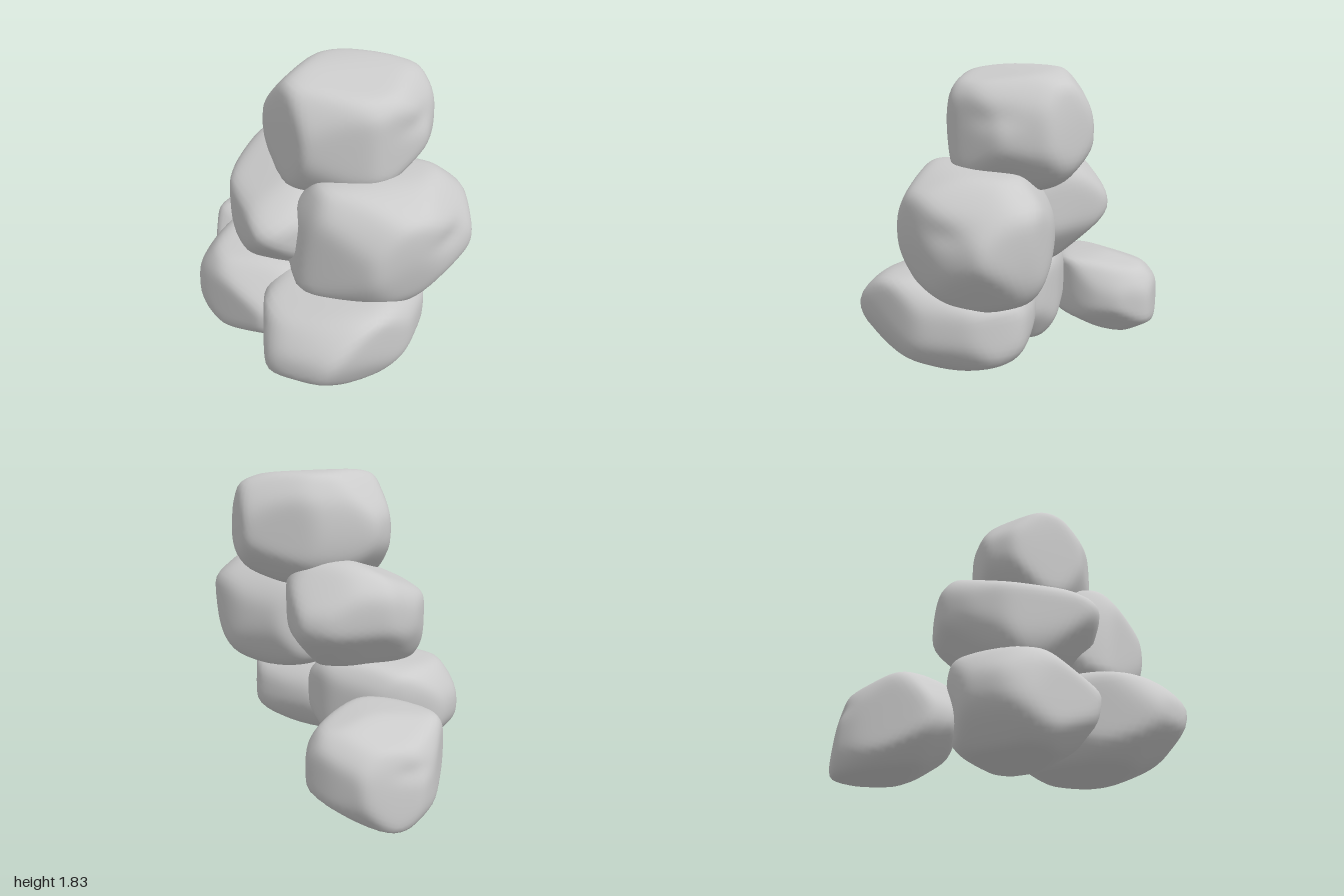
import * as THREE from 'three';
import { mergeVertices } from 'three/addons/utils/BufferGeometryUtils.js';

// Oblique directions in which the faces of a stone are domed and its corners bevelled.
const steps = [-2, -1, 1, 2];
const obliques = steps.flatMap(a => steps.flatMap(b => steps.map(c => [a, b, c])))
  .filter(d => d.some(c => Math.abs(c) === 1));

// A stone is the soft intersection of three outlines: front (x,y), side (z,y) and plan (x,z),
// rounded off between them.
function stone(name, { front, side, plan, dent }) {
  const box = new THREE.Box3();
  const range = (pts, k) => [Math.min(...pts.map(p => p[k])), Math.max(...pts.map(p => p[k]))];
  const [x, y, z] = [range(front, 0), range(side, 1), range(plan, 1)];
  box.min.set(x[0], y[0], z[0]);
  box.max.set(x[1], y[1], z[1]);
  const centre = box.getCenter(new THREE.Vector3());
  const size = box.getSize(new THREE.Vector3());
  const outlines = [[front, 'x', 'y'], [side, 'z', 'y'], [plan, 'x', 'z']];

  // Every outline edge becomes a plane, scaled so that n . p = 1 on it.
  const planes = [];
  for (const [pts, a, b] of outlines) {
    pts.forEach((p, i) => {
      const q = pts[(i + 1) % pts.length];
      const n = new THREE.Vector3();
      n[a] = q[1] - p[1];
      n[b] = p[0] - q[0];
      const h = n[a] * (p[0] - centre[a]) + n[b] * (p[1] - centre[b]);
      planes.push(n.divideScalar(h));
    });
  }

  // Oblique planes lie just outside the furthest outline point.
  for (const d of obliques) {
    const n = new THREE.Vector3(...d).divide(size);
    const reach = outlines.flatMap(([pts, a, b]) =>
      pts.map(p => n[a] * (p[0] - centre[a]) + n[b] * (p[1] - centre[b])));
    planes.push(n.divideScalar(Math.max(...reach) * 1.08));
  }

  // Push a sphere out to the planes; the power sets how round the edges are.
  let geo = new THREE.IcosahedronGeometry(1, 14);
  geo.deleteAttribute('normal');
  geo.deleteAttribute('uv');
  geo = mergeVertices(geo, 1e-5);
  const pos = geo.attributes.position;
  const v = new THREE.Vector3();
  const hollow = dent && new THREE.Vector3(...dent).normalize();
  for (let i = 0; i < pos.count; i++) {
    v.fromBufferAttribute(pos, i).normalize();
    let sum = 0;
    for (const n of planes) sum += Math.max(0, n.dot(v)) ** 30;
    let r = sum ** (-1 / 30);
    if (hollow) {
      const d = v.clone().sub(hollow);
      r *= 1 - 0.05 * Math.exp(-(d.y * d.y * 40 + (d.x * d.x + d.z * d.z) * 9));
    }
    v.multiplyScalar(r);
    pos.setXYZ(i, v.x, v.y, v.z);
  }

  // Bring the rounded stone back to the outlines' extents.
  geo.computeBoundingBox();
  const mid = geo.boundingBox.getCenter(new THREE.Vector3());
  const scale = size.clone().divide(geo.boundingBox.getSize(new THREE.Vector3()));
  geo.translate(-mid.x, -mid.y, -mid.z);
  geo.scale(scale.x, scale.y, scale.z);
  geo.translate(centre.x, centre.y, centre.z);
  geo.computeVertexNormals();
  const mesh = new THREE.Mesh(geo, new THREE.MeshStandardMaterial({ color: 0xcccccc }));
  mesh.name = name;
  return mesh;
}

export function createModel() {
  const group = new THREE.Group();
  group.name = 'rockPile';

  group.add(stone('topStone', {
    front: [[-0.28, 1.2], [-0.3, 1.35], [-0.29, 1.62], [-0.25, 1.78], [-0.1, 1.83], [0.4, 1.81], [0.57, 1.75], [0.62, 1.52], [0.62, 1.35], [0.54, 1.24], [0.3, 1.14], [-0.15, 1.14]],
    side: [[0.6, 1.66], [0.53, 1.75], [0.06, 1.83], [-0.08, 1.81], [-0.17, 1.66], [-0.19, 1.47], [-0.16, 1.31], [-0.06, 1.19], [0.11, 1.14], [0.45, 1.18], [0.6, 1.3]],
    plan: [[-0.3, -0.02], [-0.13, -0.19], [0.18, -0.19], [0.58, 0.01], [0.62, 0.32], [0.44, 0.53], [0.1, 0.6], [-0.11, 0.5], [-0.24, 0.42]],
    dent: [0.6, 0.25, 0.8],
  }));

  group.add(stone('middleFrontStone', {
    front: [[-0.33, 0.67], [-0.32, 0.86], [-0.27, 1.13], [-0.18, 1.3], [0, 1.31], [0.51, 1.27], [0.71, 1.1], [0.71, 1.0], [0.66, 0.72], [0.59, 0.62], [0.37, 0.53], [-0.15, 0.6]],
    side: [[0.92, 1.1], [0.9, 1.18], [0.76, 1.26], [0.58, 1.31], [0.33, 1.27], [0.1, 1.13], [0.08, 0.8], [0.13, 0.64], [0.29, 0.55], [0.71, 0.53], [0.84, 0.67], [0.92, 1.01]],
    plan: [[-0.33, 0.5], [-0.14, 0.78], [-0.05, 0.88], [0.2, 0.92], [0.35, 0.89], [0.62, 0.79], [0.71, 0.53], [0.6, 0.32], [0.38, 0.12], [-0.1, 0.08], [-0.3, 0.28]],
    dent: [0.6, 0.25, 0.8],
  }));

  group.add(stone('middleBackStone', {
    front: [[-0.53, 1.03], [-0.46, 1.11], [-0.24, 1.22], [0, 1.33], [0.25, 1.31], [0.36, 1.15], [0.33, 0.9], [0.15, 0.66], [-0.43, 0.66], [-0.51, 0.82]],
    side: [[-0.17, 1.33], [-0.34, 1.28], [-0.44, 1.16], [-0.45, 1.04], [-0.43, 0.94], [-0.18, 0.69], [0, 0.65], [0.3, 0.68], [0.45, 0.85], [0.45, 1.05], [0.3, 1.2], [0, 1.32]],
    plan: [[-0.52, 0.35], [-0.47, -0.13], [-0.35, -0.32], [-0.13, -0.46], [0.19, -0.42], [0.33, -0.32], [0.35, -0.13], [0.3, 0.15], [0.1, 0.4], [-0.22, 0.46], [-0.45, 0.43]],
  }));

  group.add(stone('bottomFrontStone', {
    front: [[-0.6, 0.38], [-0.56, 0.23], [-0.38, 0.11], [0.2, 0.12], [0.4, 0.2], [0.475, 0.29], [0.45, 0.55], [0.05, 0.7], [-0.18, 0.68], [-0.5, 0.6]],
    side: [[1, 0.56], [0.97, 0.65], [0.86, 0.69], [0.15, 0.64], [0.09, 0.48], [0.03, 0.21], [0.16, 0.12], [0.62, 0.1], [0.87, 0.2], [0.98, 0.43]],
    plan: [[-0.6, 0.67], [-0.55, 0.76], [-0.34, 1], [-0.05, 0.96], [0.17, 0.9], [0.4, 0.69], [0.475, 0.42], [0.32, 0.22], [0.1, 0.04], [-0.1, 0.03], [-0.35, 0.13], [-0.5, 0.42]],
  }));

  group.add(stone('bottomMiddleStone', {
    front: [[-0.72, 0.3], [-0.67, 0.55], [-0.6, 0.64], [-0.25, 0.69], [0.08, 0.7], [0.2, 0.58], [0.2, 0.35], [0.05, 0.11], [-0.56, 0.1], [-0.68, 0.2]],
    side: [[0, 0.69], [-0.2, 0.7], [-0.38, 0.65], [-0.42, 0.53], [-0.36, 0.16], [-0.28, 0.11], [0.14, 0.1], [0.35, 0.2], [0.41, 0.5], [0.3, 0.64]],
    plan: [[-0.72, -0.09], [-0.68, -0.21], [-0.52, -0.37], [-0.29, -0.42], [-0.12, -0.37], [0.12, -0.12], [0.2, 0.08], [0.1, 0.28], [-0.1, 0.4], [-0.5, 0.41], [-0.65, 0.1]],
  }));

  group.add(stone('backStone', {
    front: [[-0.46, 0.2], [-0.36, 0.1], [-0.23, 0.02], [0, 0], [0.13, 0.01], [0.39, 0.17], [0.39, 0.35], [0.3, 0.5], [0, 0.56], [-0.35, 0.53], [-0.46, 0.38]],
    side: [[-0.34, 0.54], [-0.64, 0.56], [-0.92, 0.455], [-0.96, 0.37], [-1, 0.04], [-0.975, 0], [-0.85, 0.01], [-0.53, 0.06], [-0.37, 0.16], [-0.33, 0.3]],
    plan: [[-0.46, -0.54], [-0.36, -0.74], [-0.26, -0.9], [-0.15, -0.99], [0, -1], [0.14, -0.98], [0.3, -0.82], [0.39, -0.66], [0.31, -0.47], [0.18, -0.38], [0, -0.33], [-0.36, -0.39]],
    dent: [-0.3, 0.2, -0.9],
  }));

  return group;
}
